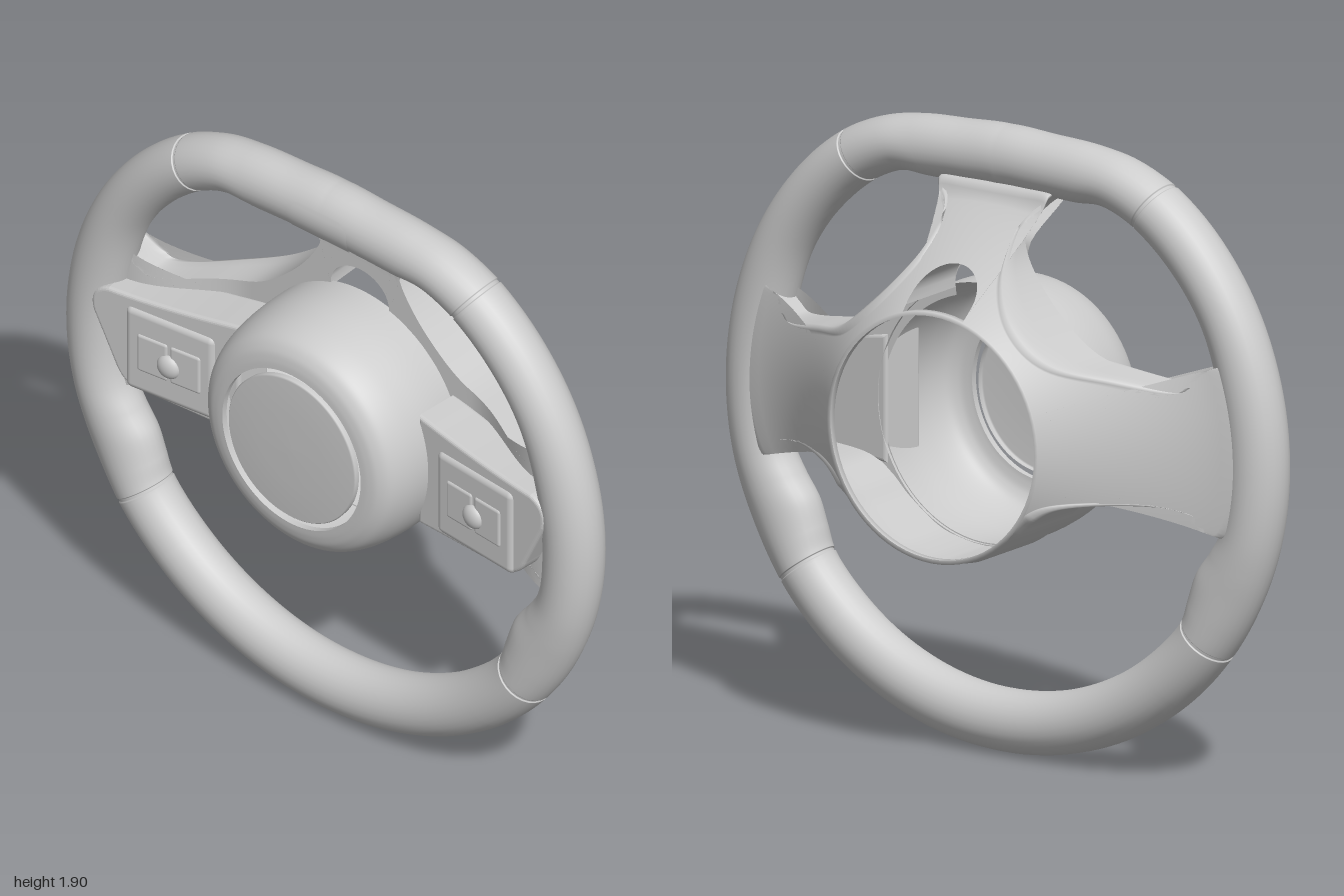
import * as THREE from 'three';
import { mergeVertices } from 'three/addons/utils/BufferGeometryUtils.js';
import { RoundedBoxGeometry } from 'three/addons/geometries/RoundedBoxGeometry.js';

const material = new THREE.MeshStandardMaterial({ color: 0xcccccc, side: THREE.DoubleSide });
const clamp = THREE.MathUtils.clamp, lerp = THREE.MathUtils.lerp, smooth = THREE.MathUtils.smoothstep;
const CY = 1.03, COLUMN_R = 0.38;

function part(name, geometry, parent, x = 0, y = 0, z = 0) {
  const mesh = new THREE.Mesh(geometry, material);
  mesh.name = name;
  mesh.position.set(x, y, z);
  parent.add(mesh);
  return mesh;
}

// Skin a list of rows (each a list of [x, y, z]) with smooth normals
function loft(rows) {
  const n = rows[0].length, index = [];
  for (let i = 0; i < rows.length - 1; i++)
    for (let j = 0; j < n - 1; j++) {
      const a = i * n + j, b = a + n;
      index.push(a, a + 1, b, b, a + 1, b + 1);
    }
  let g = new THREE.BufferGeometry();
  g.setAttribute('position', new THREE.Float32BufferAttribute(rows.flat(2), 3));
  g.setIndex(index);
  g = mergeVertices(g, 1e-5);
  g.computeVertexNormals();
  return g;
}

// Rim: elliptical section between an outer and an inner radius, with grip seams
function rimGeometry() {
  const table = [ // degrees from the top, outer radius, inner radius
    [0, 0.9, 0.71], [10, 0.907, 0.72], [20, 0.94, 0.75], [27, 0.967, 0.795], [35, 0.988, 0.815],
    [37, 0.991, 0.817], [45, 0.997, 0.822], [60, 1, 0.825], [75, 1, 0.81], [90, 1, 0.81],
    [104, 1, 0.814], [110, 1, 0.795], [116, 1, 0.776], [122, 1, 0.79], [126, 1, 0.808],
    [128, 1, 0.813], [140, 1, 0.813], [180, 1, 0.81]];
  const half = new THREE.CatmullRomCurve3(table.map(p => new THREE.Vector3(...p))).getPoints(340);
  const full = [...half, ...half.slice(0, -1).reverse().map(p => new THREE.Vector3(360 - p.x, p.y, p.z))];
  return loft(full.map(p => {
    const deg = p.x > 180 ? 360 - p.x : p.x, a = THREE.MathUtils.degToRad(p.x);
    const gap = Math.min(Math.abs(deg - 36), Math.abs(deg - 127));
    const k = gap < 0.35 ? 0.96 : 1;
    const mid = (p.y + p.z) / 2, h = k * (p.y - p.z) / 2;
    return Array.from({ length: 29 }, (_, j) => {
      const f = j / 28 * Math.PI * 2, r = mid + h * Math.cos(f);
      return [r * Math.sin(a), 1 + r * Math.cos(a), 0.08 + k * 0.09 * Math.sin(f)];
    });
  }));
}

// Front and back heights of the spoke shell
const frontZ = (x, y) => -0.03 + 0.12 * smooth(Math.abs(x), 0.42, 0.8) + 0.15 * smooth(y, 1.58, 1.74);
function backZ(r, angle) {
  const top = Math.max(0, Math.cos(angle)) ** 2;
  const t = clamp((r - COLUMN_R) / (lerp(0.92, 0.67, top) - COLUMN_R), 0, 1);
  return -0.3 * Math.pow(1 - t, lerp(1.75, 1.1, top));
}
// Inner edge of the shell: column opening, raised to a U-shaped cut-out at the top
const innerR = a => Math.abs(a) < 0.28 ? 0.39 + 0.11 * Math.sqrt(1 - (a / 0.28) ** 2) : COLUMN_R;

// Spoke outline seen from the front, right half mirrored, as angle and radius about the column
function spokeOutline() {
  const pts = [[0, 1.74], [0.1, 1.74], [0.2, 1.735], [0.152, 1.68], [0.137, 1.62], [0.166, 1.52],
    [0.257, 1.4], [0.39, 1.295], [0.55, 1.25], [0.7, 1.222], [0.755, 1.245], [0.85, 1.31],
    [0.9, 1.15], [0.9, 0.95], [0.84, 0.79], [0.775, 0.84], [0.7, 0.865], [0.58, 0.873],
    [0.42, 0.862], [0.34, 0.815], [0.27, 0.75], [0.15, 0.672], [0, 0.645]];
  const half = new THREE.SplineCurve(pts.map(p => new THREE.Vector2(...p))).getPoints(176);
  const full = [...half, ...half.slice(0, -1).reverse().map(p => new THREE.Vector2(-p.x, p.y))];
  return full.map(p => ({ a: Math.atan2(p.x, p.y - CY), r: Math.max(COLUMN_R + 0.004, Math.hypot(p.x, p.y - CY)) }));
}

function addSpokes(parent) {
  const outline = spokeOutline();
  const at = (a, r, z) => [r * Math.sin(a), CY + r * Math.cos(a), z];
  const front = (a, r) => frontZ(r * Math.sin(a), CY + r * Math.cos(a));
  // back flare, rolled edge and side wall
  part('spokeShell', loft(outline.map(({ a, r }) => {
    const r0 = innerR(a), edge = Math.max(r0, r - 0.03), row = [];
    for (let i = 0; i <= 12; i++) {
      const q = lerp(r0, edge, i / 12);
      row.push(at(a, q, backZ(q, a)));
    }
    const zb = backZ(edge, a), zf = Math.max(front(a, r), zb + 0.01);
    row.push(at(a, Math.max(r0, r - 0.009), Math.min(zb + 0.008, zf)), at(a, r, Math.min(zb + 0.03, zf)));
    for (let i = 1; i <= 3; i++) row.push(at(a, r, lerp(Math.min(zb + 0.03, zf), zf, i / 3)));
    return row;
  })), parent);
  // front face of the spokes
  part('spokeFace', loft(outline.map(({ a, r }) => {
    const r0 = Math.min(r, innerR(a) - 0.005);
    return Array.from({ length: 15 }, (_, i) => {
      const q = lerp(r0, r, i / 14);
      return at(a, q, front(a, q));
    });
  })), parent);
  // walls of the cut-out under the top spoke
  part('cutOutWall', loft(Array.from({ length: 33 }, (_, i) => {
    const a = lerp(-0.279, 0.279, i / 32), r = innerR(a);
    return [at(a, r, backZ(r, a)), at(a, r, front(a, r))];
  })), parent);
  // lip round the column opening
  const lip = [[0.368, 0], [0.381, 0], [0.381, 0.02], [0.368, 0.02], [0.368, 0]].map(p => new THREE.Vector2(...p));
  part('columnLip', new THREE.LatheGeometry(lip, 72), parent, 0, CY, -0.3).rotation.x = Math.PI / 2;
}

// Tapered trim inlay running from the rim down the top spoke
function inlayGeometry() {
  return loft(Array.from({ length: 25 }, (_, i) => {
    const y = lerp(1.545, 1.845, i / 24);
    const w = lerp(0.038, 0.115, smooth(y, 1.56, 1.78)) * (1 - 0.3 * smooth(y, 1.82, 1.845));
    return Array.from({ length: 9 }, (_, j) => {
      const x = lerp(-w, w, j / 8);
      const rim = 0.08 + 0.09 * Math.sqrt(Math.max(0, 1 - ((y - 1.805) / 0.095) ** 2));
      return [x, y, Math.max(frontZ(x, y), y > 1.71 ? rim : -1) + 0.004];
    });
  }));
}

// Hollow hub cover with an open ring gap round its centre disc
function addHub(parent) {
  const hub = new THREE.Group();
  hub.name = 'hub';
  hub.position.set(0, 1.047, 0);
  const lathe = (name, pts) => {
    const curve = new THREE.LatheGeometry(pts.map(p => new THREE.Vector2(...p)), 96);
    part(name, curve, hub).rotation.x = Math.PI / 2;
  };
  const side = new THREE.SplineCurve([[0.384, -0.04], [0.386, 0.05], [0.382, 0.12], [0.371, 0.19],
    [0.35, 0.245], [0.32, 0.272], [0.29, 0.282], [0.263, 0.285]].map(p => new THREE.Vector2(...p)));
  lathe('hubCover', side.getPoints(40).map(p => [p.x, p.y]));
  lathe('hubLip', [[0.263, 0.285], [0.263, 0.265]]);
  lathe('hubDisc', [[0.24, 0.265], [0.241, 0.282], [0.237, 0.286], [0.12, 0.29], [0, 0.291]]);
  hub.scale.y = 1.03;
  parent.add(hub);
}

// Control pod on the model's left spoke (+x)
function controlPod() {
  const pod = new THREE.Group();
  pod.name = 'controlPod';
  pod.position.set(0.6, 1.02, 0.14);
  pod.rotation.y = -0.1;
  const s = new THREE.Shape();
  s.moveTo(-0.25, -0.165);
  s.quadraticCurveTo(-0.05, -0.155, 0.11, -0.15);
  s.quadraticCurveTo(0.15, -0.14, 0.17, -0.09);
  s.lineTo(0.245, 0.07);
  s.quadraticCurveTo(0.265, 0.14, 0.2, 0.155);
  s.quadraticCurveTo(0, 0.16, -0.25, 0.2);
  s.closePath();
  part('podBezel', new THREE.ExtrudeGeometry(s, { depth: 0.13, bevelSize: 0.012, bevelThickness: 0.012,
    bevelSegments: 4, curveSegments: 12 }), pod, 0, 0, -0.142);
  part('buttonPanel', new RoundedBoxGeometry(0.32, 0.3, 0.05, 4, 0.024), pod, -0.02, -0.012, -0.015);
  for (const sx of [-1, 1])
    part('button', new RoundedBoxGeometry(0.11, 0.135, 0.024, 3, 0.011), pod, -0.02 + sx * 0.058, -0.012, 0.003);
  part('knob', new THREE.SphereGeometry(0.04, 24, 16), pod, -0.02, -0.022, 0.01).scale.z = 0.6;
  return pod;
}

export function createModel() {
  const model = new THREE.Group();
  model.name = 'steeringWheel';
  part('rim', rimGeometry(), model);
  addSpokes(model);
  part('topInlay', inlayGeometry(), model);
  addHub(model);
  for (const sx of [1, -1]) {
    const sideGroup = new THREE.Group();
    sideGroup.name = sx > 0 ? 'leftControls' : 'rightControls';
    sideGroup.scale.x = sx;
    sideGroup.add(controlPod());
    model.add(sideGroup);
  }
  return model;
}
